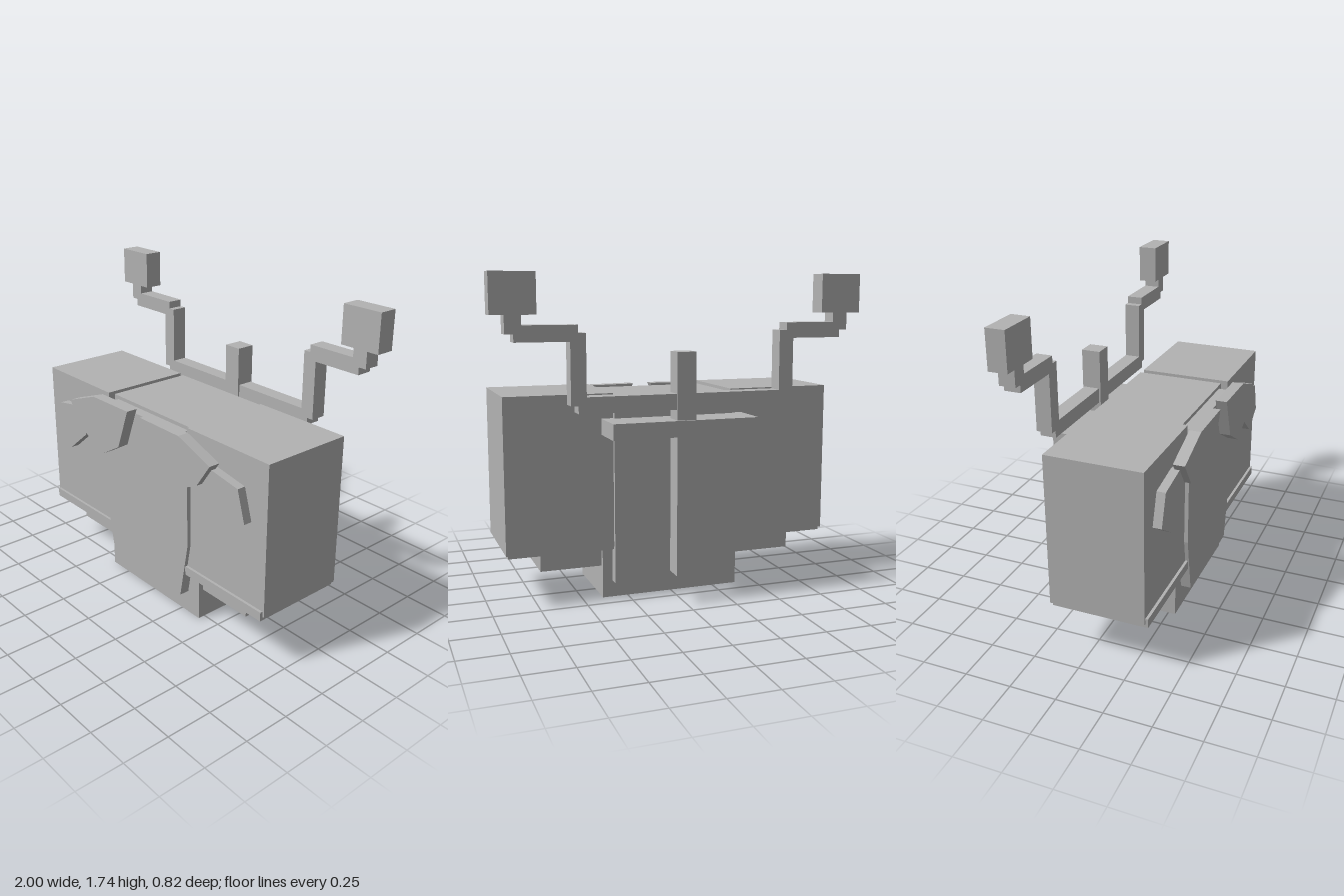
import * as THREE from 'three';

export function createModel() {
  const model = new THREE.Group();
  const grey = new THREE.MeshStandardMaterial({ color: 0xb2b2b2 });
  grey.name = 'plain grey';

  const add = (name, geometry) => {
    const mesh = new THREE.Mesh(geometry, grey);
    mesh.name = name;
    model.add(mesh);
  };

  // Box given by its limits on each axis
  const box = (name, [x0, x1], [y0, y1], [z0, z1]) => {
    const g = new THREE.BoxGeometry(x1 - x0, y1 - y0, z1 - z0);
    g.translate((x0 + x1) / 2, (y0 + y1) / 2, (z0 + z1) / 2);
    add(name, g);
  };

  // The same box on the left and right
  const pair = (name, [x0, x1], y, z) => {
    box(name + 'Left', [x0, x1], y, z);
    box(name + 'Right', [-x1, -x0], y, z);
  };

  // Flat plate cut to an outline, facing the front
  const plate = (name, points, z0, z1, side = 1) => {
    const shape = new THREE.Shape(points.map(([x, y]) => new THREE.Vector2(x * side, y)));
    const g = new THREE.ExtrudeGeometry(shape, { depth: z1 - z0, bevelEnabled: false });
    g.translate(0, 0, z0);
    add(name, g);
  };

  // Body core, foot and side tanks
  box('core', [-0.335, 0.335], [0.09, 1.1], [-0.21, 0.285]);
  box('foot', [-0.39, 0.39], [0, 0.285], [-0.155, 0.29]);
  pair('sideBody', [0.335, 0.915], [0.29, 1.117], [-0.19, 0.325]);
  pair('bottomTrim', [0.335, 0.905], [0.272, 0.322], [-0.18, 0.34]);
  pair('sideFoot', [0.385, 0.725], [0.172, 0.275], [-0.13, 0.262]);

  // Tapered front panel
  plate('frontPanel', [
    [-0.3, 0.13], [0.3, 0.13], [0.36, 0.45], [0.36, 0.95],
    [0.3, 1.08], [-0.3, 1.08], [-0.36, 0.95], [-0.36, 0.45],
  ], 0.28, 0.346);

  // Overlapping collar plates
  const collar = [[0.055, 1.108], [0.365, 1.105], [0.6, 1.02], [0.505, 0.885], [0.3, 0.785], [0.145, 0.875]];
  const collarTip = [[0.5, 0.975], [0.57, 0.983], [0.76, 0.95], [0.81, 0.78], [0.675, 0.69], [0.515, 0.82], [0.5, 0.885]];
  for (const [label, side] of [['Left', 1], ['Right', -1]]) {
    plate('collar' + label, collar, 0.345, 0.408, side);
    plate('collarTip' + label, collarTip, 0.32, 0.372, side);
  }

  // Rear bracket and upright post
  box('rearBracket', [-0.4, 0.4], [0.9, 0.985], [-0.41, -0.19]);
  box('rearPost', [-0.052, 0.052], [0.155, 1.337], [-0.395, -0.29]);

  // Stepped arms ending in blocks
  const armZ = [-0.387, -0.3];
  box('armCrossbar', [-0.57, 0.57], [1.04, 1.123], armZ);
  pair('armRiser', [0.528, 0.608], [1.08, 1.44], armZ);
  pair('armReach', [0.568, 0.885], [1.398, 1.48], armZ);
  pair('armTip', [0.845, 0.928], [1.438, 1.54], armZ);
  pair('armBlock', [0.772, 1], [1.53, 1.735], [-0.394, -0.292]);

  return model;
}
